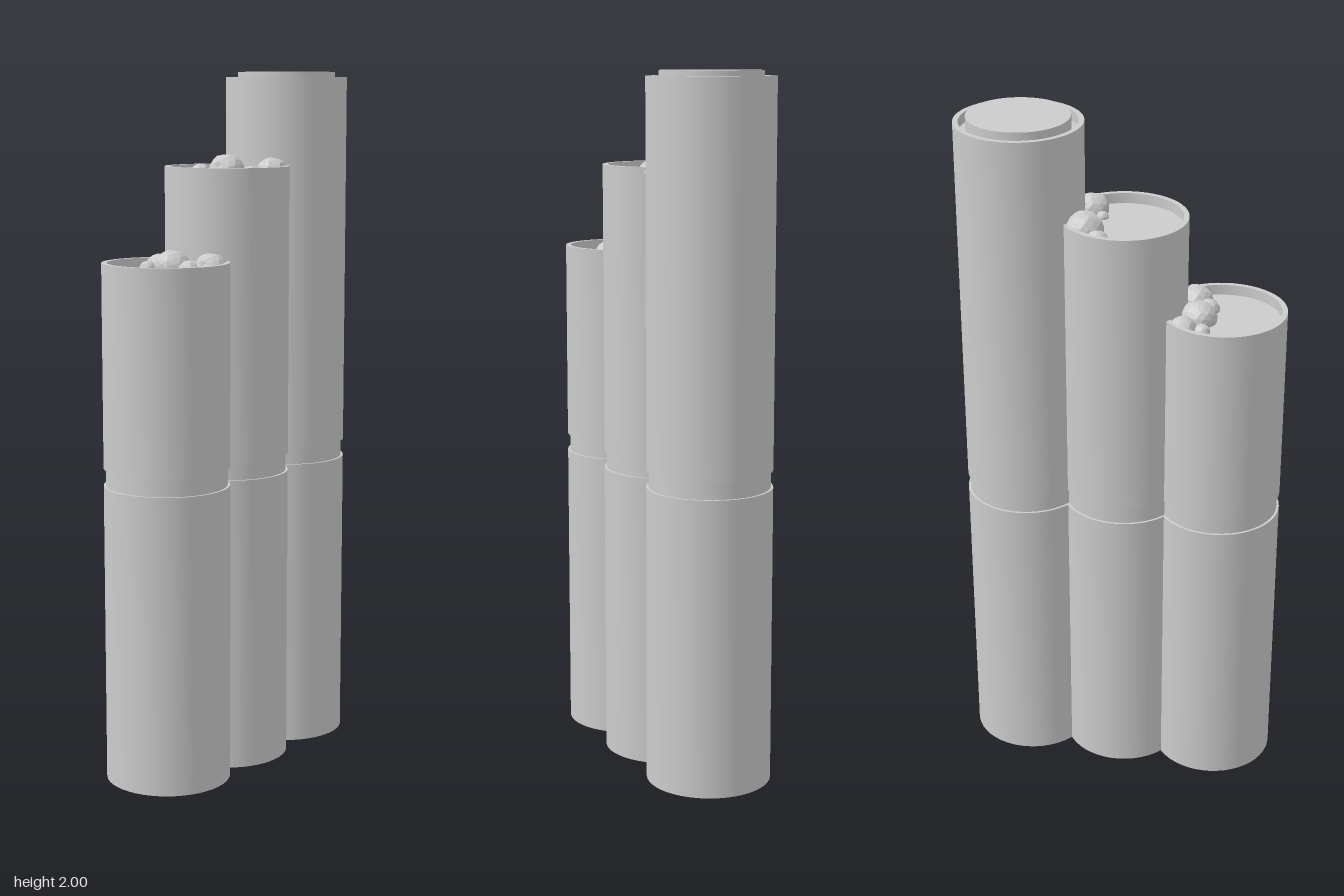
import * as THREE from 'three';
import { toCreasedNormals } from 'three/addons/utils/BufferGeometryUtils.js';

const R = 0.178;
const smooth = new THREE.MeshStandardMaterial({ color: 0xcccccc });
const faceted = new THREE.MeshStandardMaterial({ color: 0xcccccc, flatShading: true });

// Capped tube with a shallow groove and a recessed top; capped = raised disc in the recess
function tubeGeometry(height, capped) {
  const floor = height - 0.03;
  const profile = [
    [0, 0], [R, 0], [R, 0.855], [R - 0.007, 0.855], [R - 0.007, 0.905], [R, 0.905],
    [R, height], [0.163, height], [0.163, floor],
  ];
  if (capped) profile.push([0.143, floor], [0.143, 2], [0, 2]);
  else profile.push([0, floor]);
  const lathe = new THREE.LatheGeometry(profile.map(([x, y]) => new THREE.Vector2(x, y)), 48);
  return toCreasedNormals(lathe, 0.6);
}

// Rough faceted stone: a sphere whose vertices shift by a rule of their direction
function stoneGeometry(r, seed) {
  const geo = new THREE.IcosahedronGeometry(1, 2);
  const pos = geo.attributes.position;
  const v = new THREE.Vector3();
  for (let i = 0; i < pos.count; i++) {
    v.fromBufferAttribute(pos, i).normalize();
    const bump = Math.sin(v.x * 9 + seed) * Math.sin(v.y * 8 + seed * 2) * Math.sin(v.z * 10 + seed * 3);
    v.multiplyScalar(r * (1 + 0.07 * bump));
    pos.setXYZ(i, v.x, v.y * 0.87, v.z);
  }
  geo.computeVertexNormals();
  return geo;
}

export function createModel() {
  const group = new THREE.Group();

  // Three stepped tubes; stones are [x, z, radius]
  const tubes = [
    { name: 'frontTube', z: 0.286, height: 1.48, stones: [
      [-0.1, 0.19, 0.038], [-0.1, 0.243, 0.023], [-0.028, 0.222, 0.052],
      [0.045, 0.238, 0.031], [0.087, 0.194, 0.048], [0.03, 0.19, 0.02]] },
    { name: 'middleTube', z: 0.005, height: 1.735, stones: [
      [-0.072, -0.09, 0.053], [-0.13, -0.041, 0.029], [0.01, -0.097, 0.024],
      [0.04, -0.065, 0.017], [0.082, -0.102, 0.047]] },
    { name: 'backTube', z: -0.287, height: 1.985, capped: true, stones: [] },
  ];

  tubes.forEach(({ name, z, height, capped, stones }, t) => {
    const tube = new THREE.Mesh(tubeGeometry(height, capped), smooth);
    tube.name = name;
    tube.position.z = z;
    group.add(tube);

    // Stones heaped against the next taller tube
    stones.forEach(([x, sz, r], i) => {
      const stone = new THREE.Mesh(stoneGeometry(r, 1 + t * 7 + i), faceted);
      stone.name = 'stone';
      stone.position.set(x, height - 0.03 + 0.25 * r, sz);
      group.add(stone);
    });
  });
  return group;
}
